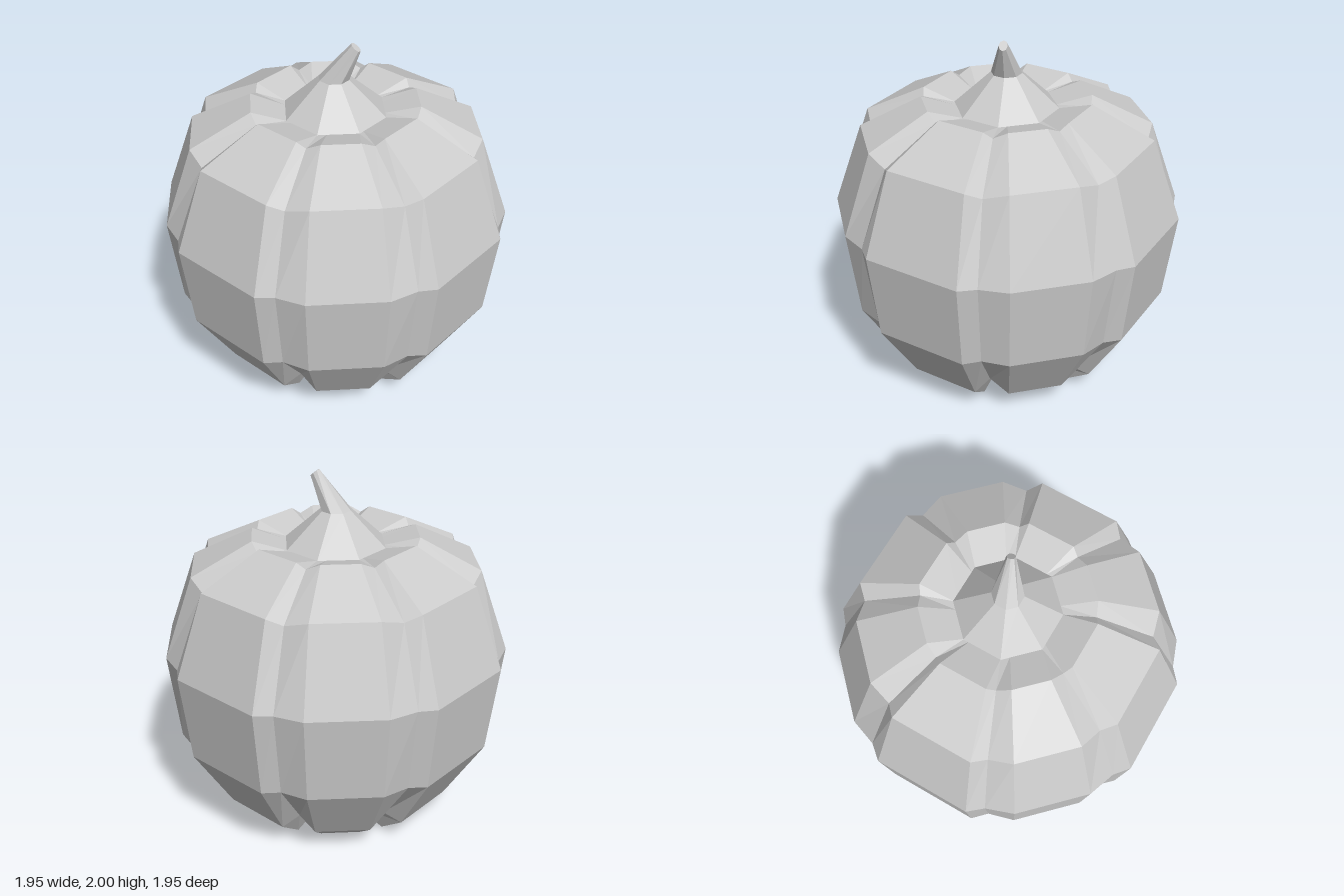
import * as THREE from 'three';

const material = new THREE.MeshStandardMaterial({ color: 0xcccccc, flatShading: true });
const DEG = Math.PI / 180;

// Skin closed rings of points, listed from bottom to top, with flat facets
function loft(name, rings) {
  const n = rings[0].length;
  const positions = rings.flat().flatMap((p) => p.toArray());
  const index = [];
  for (let j = 0; j < rings.length - 1; j++) {
    for (let i = 0; i < n; i++) {
      const k = (i + 1) % n;
      const a = j * n + i, b = j * n + k, c = b + n, d = a + n;
      if (!rings[j][i].equals(rings[j][k])) index.push(a, b, c);
      if (!rings[j + 1][i].equals(rings[j + 1][k])) index.push(a, c, d);
    }
  }
  let geometry = new THREE.BufferGeometry();
  geometry.setAttribute('position', new THREE.Float32BufferAttribute(positions, 3));
  geometry.setIndex(index);
  geometry = geometry.toNonIndexed();
  geometry.computeVertexNormals();
  const mesh = new THREE.Mesh(geometry, material);
  mesh.name = name;
  return mesh;
}

// Ribbed body: eight grooves, with wide and narrow lobes alternating between them
function bodyRing([lobeR, lobeY, grooveR, grooveY]) {
  const ring = [];
  const add = (deg, r, y) =>
    ring.push(new THREE.Vector3(r * Math.sin(deg * DEG), y, r * Math.cos(deg * DEG)));
  for (let g = 0; g < 8; g++) {
    const wideBefore = g % 2 === 0;
    const centre = g * 45;
    add(centre - (wideBefore ? 5.9 : 9.7), lobeR * (wideBefore ? 1 : 0.985), lobeY);
    add(centre, grooveR, grooveY);
    add(centre + (wideBefore ? 9.7 : 5.9), lobeR * (wideBefore ? 0.985 : 1), lobeY);
  }
  return ring;
}

// Eight-sided stem ring, tilted by a slope along x
function stemRing(cx, y, rx, rz, slope = 0) {
  return Array.from({ length: 8 }, (_, i) => {
    const s = Math.sin(i * 45 * DEG), c = Math.cos(i * 45 * DEG);
    return new THREE.Vector3(cx + rx * s, y + slope * rx * s, rz * c);
  });
}

export function createModel() {
  const model = new THREE.Group();
  model.name = 'pumpkin';

  // Lobe radius and height, groove radius and height
  const bodyProfile = [
    [0, 0.02, 0, 0.02],
    [0.505, 0, 0.32, 0.04],
    [0.695, 0.15, 0.61, 0.19],
    [0.92, 0.52, 0.875, 0.52],
    [0.98, 1.02, 0.943, 1.02],
    [0.815, 1.48, 0.775, 1.44],
    [0.472, 1.65, 0.46, 1.615],
    [0.275, 1.595, 0.285, 1.595],
  ];
  model.add(loft('body', bodyProfile.map(bodyRing)));

  // Flared stem, bending towards +x at the tip
  model.add(loft('stem', [
    stemRing(0, 1.59, 0.295, 0.295),
    stemRing(-0.005, 1.785, 0.085, 0.085),
    stemRing(0.115, 1.98, 0.025, 0.024, -0.8),
    stemRing(0.115, 1.98, 0, 0),
  ]));

  return model;
}
